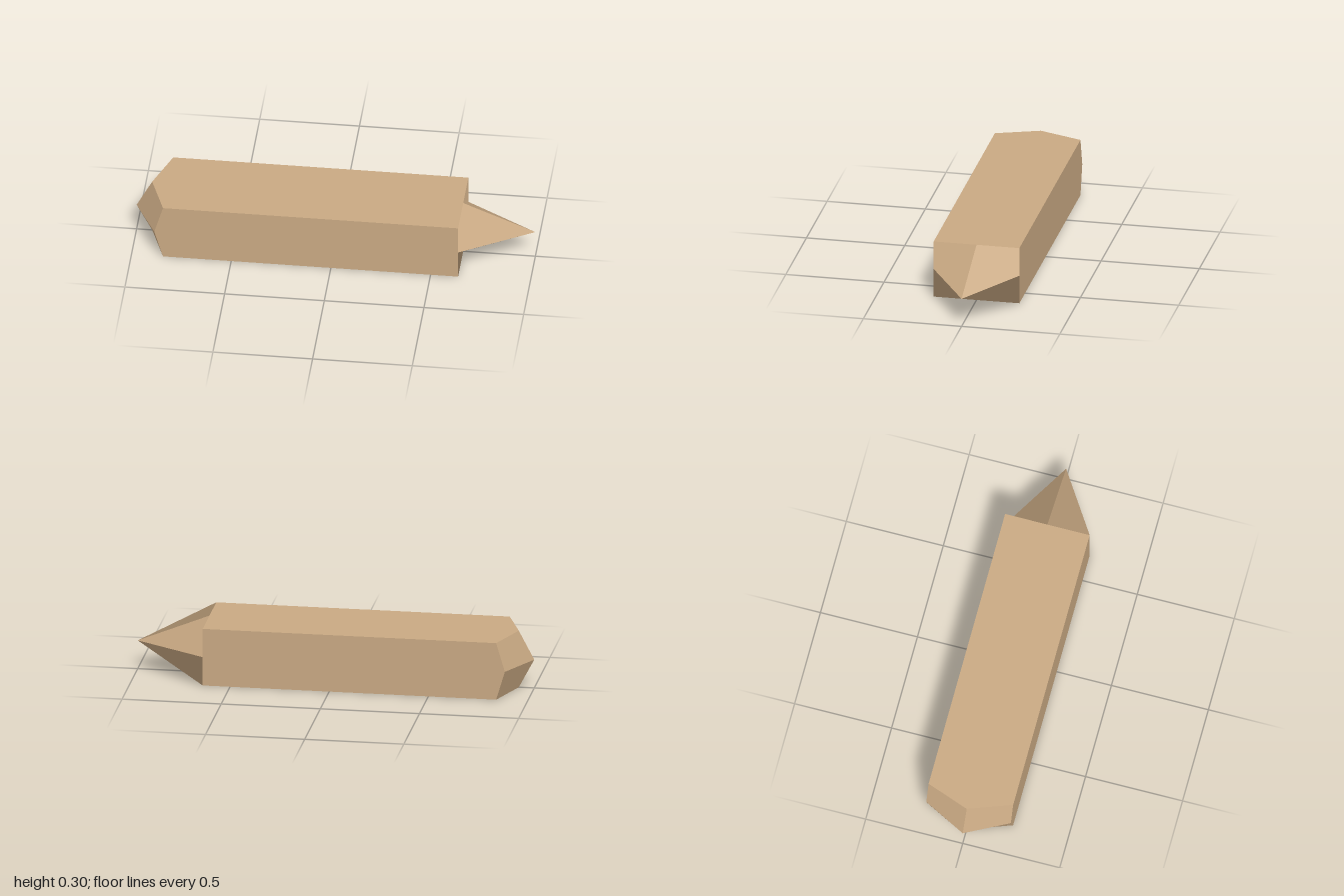
import * as THREE from 'three';

const H = 0.148; // half height
const D = 0.218; // half depth

// Outline walked from top centre towards +z: edge middles and corners alternate
const OUTLINE = [[1, 0], [1, 1], [0, 1], [-1, 1], [-1, 0], [-1, -1], [0, -1], [1, -1]];
const ring = (xOf) => OUTLINE.map(([y, z]) => new THREE.Vector3(xOf(y, z), H + y * H, z * D));

// Flat facets from four-cornered faces; each face keeps one normal.
// alt picks the other diagonal for the split.
function facets(faces) {
  const positions = [];
  const normals = [];
  for (const { points: [a, b, c, d], alt } of faces) {
    const n = c.clone().sub(a).cross(d.clone().sub(b)).normalize();
    const corners = alt ? [a, b, d, b, c, d] : [a, b, c, a, c, d];
    for (const p of corners) {
      positions.push(p.x, p.y, p.z);
      normals.push(n.x, n.y, n.z);
    }
  }
  const geometry = new THREE.BufferGeometry();
  geometry.setAttribute('position', new THREE.Float32BufferAttribute(positions, 3));
  geometry.setAttribute('normal', new THREE.Float32BufferAttribute(normals, 3));
  return geometry;
}

// Four kite-shaped facets, one around each corner, meeting at the tip
function endCap(points, tip, reverse) {
  return facets([1, 3, 5, 7].map((i) => {
    const before = points[i - 1];
    const after = points[(i + 1) % 8];
    return {
      points: reverse ? [after, points[i], before, tip] : [before, points[i], after, tip],
      alt: i % 4 === 1,
    };
  }));
}

export function createModel() {
  const group = new THREE.Group();
  group.name = 'pointedBar';
  const tan = new THREE.MeshStandardMaterial({ color: 0xc8a882 });
  tan.name = 'tan';

  const add = (name, geometry) => {
    const mesh = new THREE.Mesh(geometry, tan);
    mesh.name = name;
    group.add(mesh);
  };

  // Straight cut at the sharp end, zigzag cut at the blunt end
  const right = ring(() => 0.638);
  const left = ring((y, z) => (y && z ? -0.842 : y ? -0.922 : -0.886));

  // Long box-shaped body
  add('body', facets(right.map((p, i) => {
    const j = (i + 1) % 8;
    return { points: [p, left[i], left[j], right[j]] };
  })));

  add('sharpTip', endCap(right, new THREE.Vector3(1, H, 0), false));
  add('bluntEnd', endCap(left, new THREE.Vector3(-1, H, 0), true));

  return group;
}
